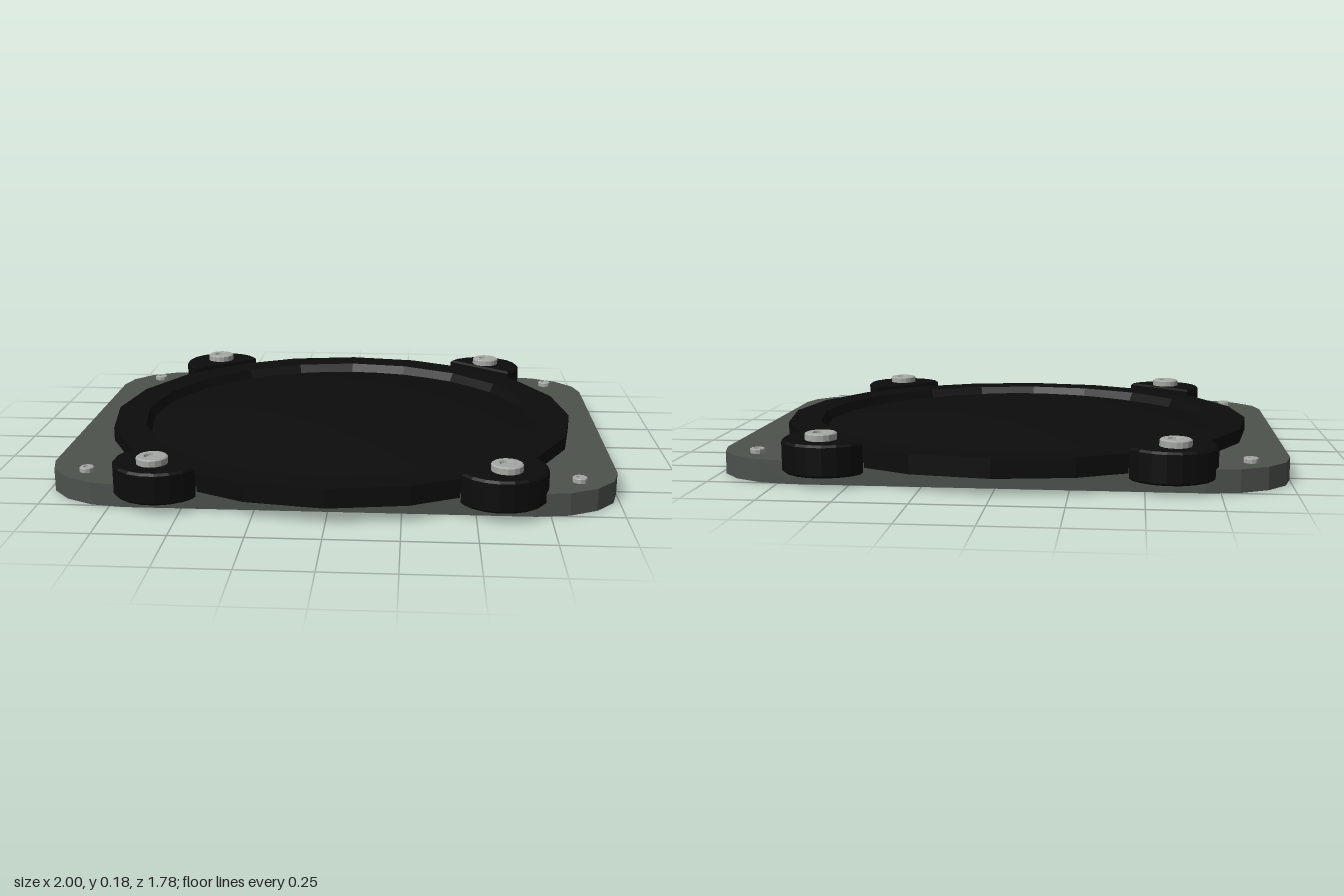
import * as THREE from 'three';

const plateGrey = new THREE.MeshStandardMaterial({ color: 0x4d524d, side: THREE.DoubleSide });
plateGrey.name = 'plate grey';
const black = new THREE.MeshStandardMaterial({ color: 0x0c0c0c, side: THREE.DoubleSide });
black.name = 'black';
const steel = new THREE.MeshStandardMaterial({ color: 0xa6a8a4 });
steel.name = 'steel';

const CORNERS = [[1, 1], [-1, 1], [1, -1], [-1, -1]];

// rounded-corner plate outline, shrunk by an inset
function outline(inset) {
  const pts = [];
  const a = 0.3, b = 0.235, steps = 4;
  for (let q = 0; q < 4; q++) {
    const sx = q === 0 || q === 3 ? 1 : -1, sy = q < 2 ? 1 : -1;
    for (let i = 0; i <= steps; i++) {
      const t = (q + i / steps) * Math.PI / 2;
      pts.push(new THREE.Vector2(sx * (1 - a) + (a - inset) * Math.cos(t),
        sy * (0.76 - b) + (b - inset) * Math.sin(t)));
    }
  }
  return pts;
}

// extrude a plan shape upward from y0 to y1
function slab(shape, y0, y1, bevel = 0) {
  const geo = new THREE.ExtrudeGeometry(shape, {
    depth: y1 - y0 - 2 * bevel, bevelEnabled: bevel > 0, bevelSegments: 1,
    bevelSize: bevel, bevelThickness: bevel, bevelOffset: -bevel,
  });
  geo.rotateX(-Math.PI / 2);
  geo.translate(0, y0 + bevel, 0);
  return geo;
}

function lathe(points, segments, flat) {
  let geo = new THREE.LatheGeometry(points.map(p => new THREE.Vector2(p[0], p[1])), segments);
  if (flat) {
    geo = geo.toNonIndexed();
    geo.computeVertexNormals();
  }
  return geo;
}

export function createModel() {
  const model = new THREE.Group();
  const add = (name, geo, mat, x = 0, y = 0, z = 0) => {
    const mesh = new THREE.Mesh(geo, mat);
    mesh.name = name;
    mesh.position.set(x, y, z);
    model.add(mesh);
    return mesh;
  };

  // base plate: thin top panel with a skirt, open underneath
  add('basePanel', slab(new THREE.Shape(outline(0)), 0.072, 0.08), plateGrey);
  const skirt = new THREE.Shape(outline(0));
  skirt.holes.push(new THREE.Path(outline(0.008)));
  add('baseSkirt', slab(skirt, 0, 0.072), plateGrey);

  // faceted ring with a shallow dome inside it
  add('ring', lathe([[0.89, 0.062], [0.89, 0.13], [0.77, 0.13], [0.75, 0.096]], 20, true), black);
  const dome = [];
  for (let i = 0; i <= 10; i++) {
    const r = 0.765 * (1 - i / 10);
    dome.push([r, 0.172 - 0.135 * r * r]);
  }
  add('dome', lathe(dome, 40, false), black);

  // socket screw: rim, recessed floor
  const screw = (name, r, h, sides, x, y, z) => {
    add(name, lathe([[r, 0], [r, h * 0.85], [r * 0.9, h], [r * 0.5, h],
      [r * 0.45, h * 0.7], [0, h * 0.7]], sides, true), steel, x, y, z);
  };

  for (const [sx, sz] of CORNERS) {
    // clamp lug, cut straight along the ring edge
    const pts = [];
    for (let i = 0; i <= 11; i++) {
      const t = THREE.MathUtils.degToRad(-48 + 198 * i / 11);
      pts.push(new THREE.Vector2(sx * (0.585 + 0.16 * Math.cos(t)), -sz * (0.69 + 0.16 * Math.sin(t))));
    }
    add('clampLug', slab(new THREE.Shape(pts), 0.04, 0.152, 0.008), black);
    screw('clampScrew', 0.055, 0.027, 16, sx * 0.6, 0.15, sz * 0.727);
    screw('plateScrew', 0.026, 0.018, 10, sx * 0.857, 0.079, sz * 0.625);
  }
  return model;
}
